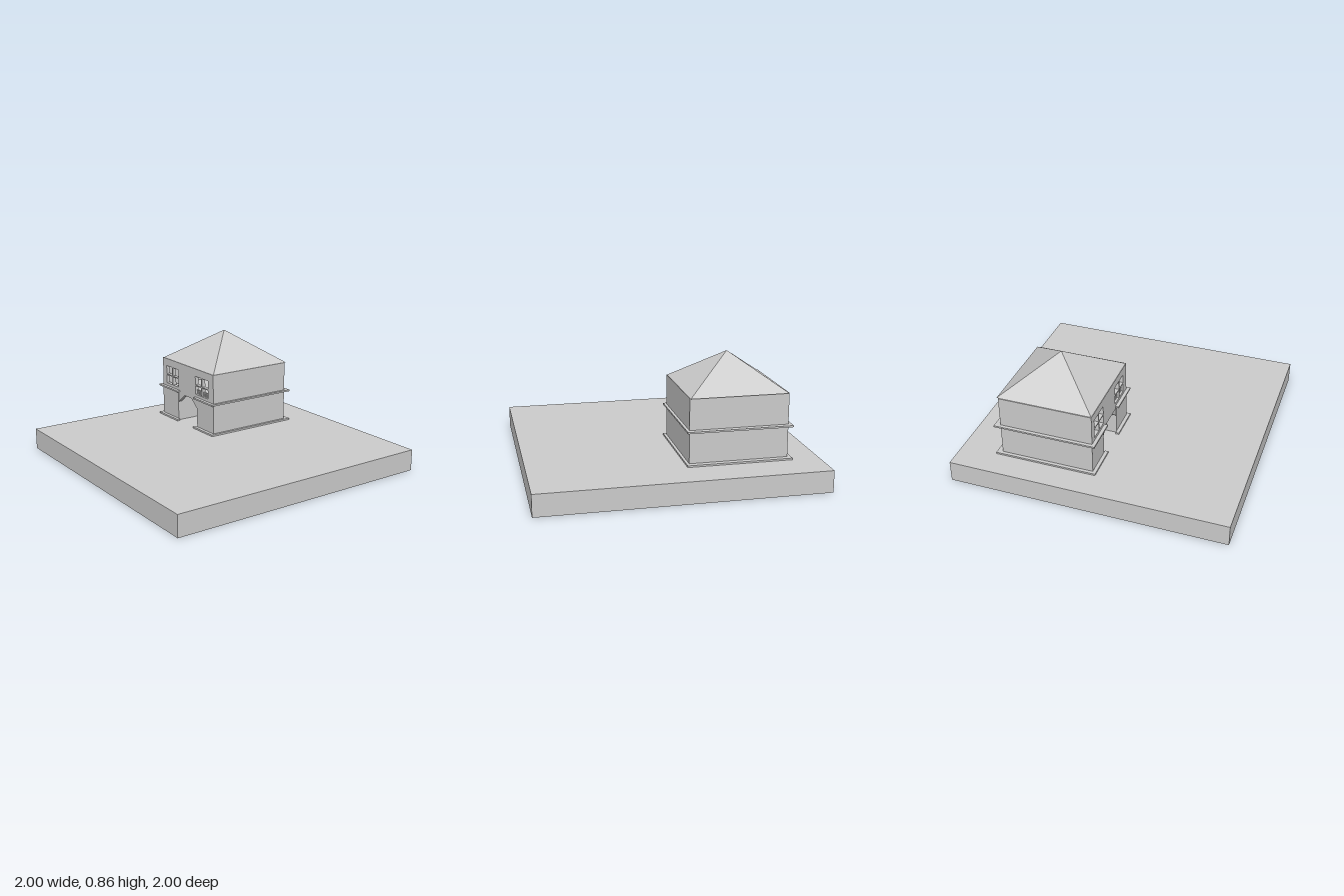
import * as THREE from 'three';

const mat = new THREE.MeshStandardMaterial({ color: 0xcccccc, side: THREE.DoubleSide });

// Box given by its minimum and maximum corners
function box(parent, name, [x0, y0, z0], [x1, y1, z1]) {
  const mesh = new THREE.Mesh(new THREE.BoxGeometry(x1 - x0, y1 - y0, z1 - z0), mat);
  mesh.position.set((x0 + x1) / 2, (y0 + y1) / 2, (z0 + z1) / 2);
  mesh.name = name;
  parent.add(mesh);
  return mesh;
}

function polygon(points, Type = THREE.Shape) {
  return new Type(points.map(([x, y]) => new THREE.Vector2(x, y)));
}

// Flat outline extruded along z, starting at z0
function slab(parent, name, shape, z0, depth) {
  const mesh = new THREE.Mesh(new THREE.ExtrudeGeometry(shape, { depth, bevelEnabled: false }), mat);
  mesh.position.z = z0;
  mesh.name = name;
  parent.add(mesh);
}

export function createModel() {
  const model = new THREE.Group();
  const G = 0.155, FLOOR = 0.375, TOP = 0.62;
  const L = -0.78, R = -0.085, F = -0.02, B = -0.695, T = 0.03;
  const doorL = -0.56, doorR = -0.3;

  box(model, 'ground', [-1, 0, -1], [1, G, 1]);

  const house = new THREE.Group();
  house.name = 'house';
  model.add(house);

  // Outer walls
  box(house, 'leftWall', [R - T, G, B], [R, TOP, F - T]);
  box(house, 'rightWall', [L, G, B], [L + T, TOP, F - T]);
  box(house, 'backWall', [L + T, G, B], [R - T, TOP, B + T]);

  // Front wall with doorway and four-pane windows
  const front = polygon([[L, G], [doorL, G], [doorL, FLOOR], [doorR, FLOOR], [doorR, G], [R, G], [R, TOP], [L, TOP]]);
  const windows = [-0.728, -0.323];
  for (const x of windows) {
    for (const dx of [0, 0.09]) {
      for (const [y0, y1] of [[0.422, 0.488], [0.496, 0.562]]) {
        const a = x + dx, b = a + 0.08;
        front.holes.push(polygon([[a, y0], [a, y1], [b, y1], [b, y0]], THREE.Path));
      }
    }
  }
  slab(house, 'frontWall', front, F - T, T);

  // Passage behind the doorway and the storey floor above it
  box(house, 'passageWall', [doorL - T, G, B + T], [doorL, FLOOR, F - T]);
  box(house, 'passageWall', [doorR, G, B + T], [doorR + T, FLOOR, F - T]);
  box(house, 'upperFloor', [L + T, FLOOR, B + T], [R - T, FLOOR + 0.015, F - T]);

  // Diagonal corner braces of the doorway
  for (const [x, s] of [[doorL, 1], [doorR, -1]]) {
    slab(house, 'doorBrace', polygon([[x, 0.305], [x + s * 0.085, FLOOR], [x, FLOOR]]), F - T, T - 0.003);
  }

  // Row of balusters in the left window
  for (let i = 0; i < 8; i++) {
    const x = -0.318 + i * 0.021;
    box(house, 'baluster', [x, 0.422, F - 0.025], [x + 0.012, 0.453, F - 0.015]);
  }
  box(house, 'balusterRail', [-0.323, 0.45, F - 0.026], [-0.153, 0.456, F - 0.014]);

  // Ledges around the foot and between the storeys, open above the door
  for (const y of [G, 0.388]) {
    const y1 = y + 0.012;
    const ledge = new THREE.Group();
    ledge.name = 'ledge';
    house.add(ledge);
    box(ledge, 'ledgeRight', [-0.805, y, -0.735], [L, y1, 0.005]);
    box(ledge, 'ledgeLeft', [R, y, -0.735], [-0.065, y1, 0.005]);
    box(ledge, 'ledgeBack', [L, y, -0.735], [R, y1, B]);
    box(ledge, 'ledgeFront', [L, y, F], [-0.54, y1, 0.005]);
    box(ledge, 'ledgeFront', [-0.32, y, F], [R, y1, 0.005]);
  }

  // Pyramid roof
  const half = 0.343, rise = 0.86 - TOP;
  const roofGeometry = new THREE.ConeGeometry(half * Math.SQRT2, rise, 4).rotateY(Math.PI / 4).toNonIndexed();
  roofGeometry.computeVertexNormals();
  const roof = new THREE.Mesh(roofGeometry, mat);
  roof.position.set(-0.431, TOP + rise / 2, -0.366);
  roof.name = 'roof';
  house.add(roof);

  return model;
}
